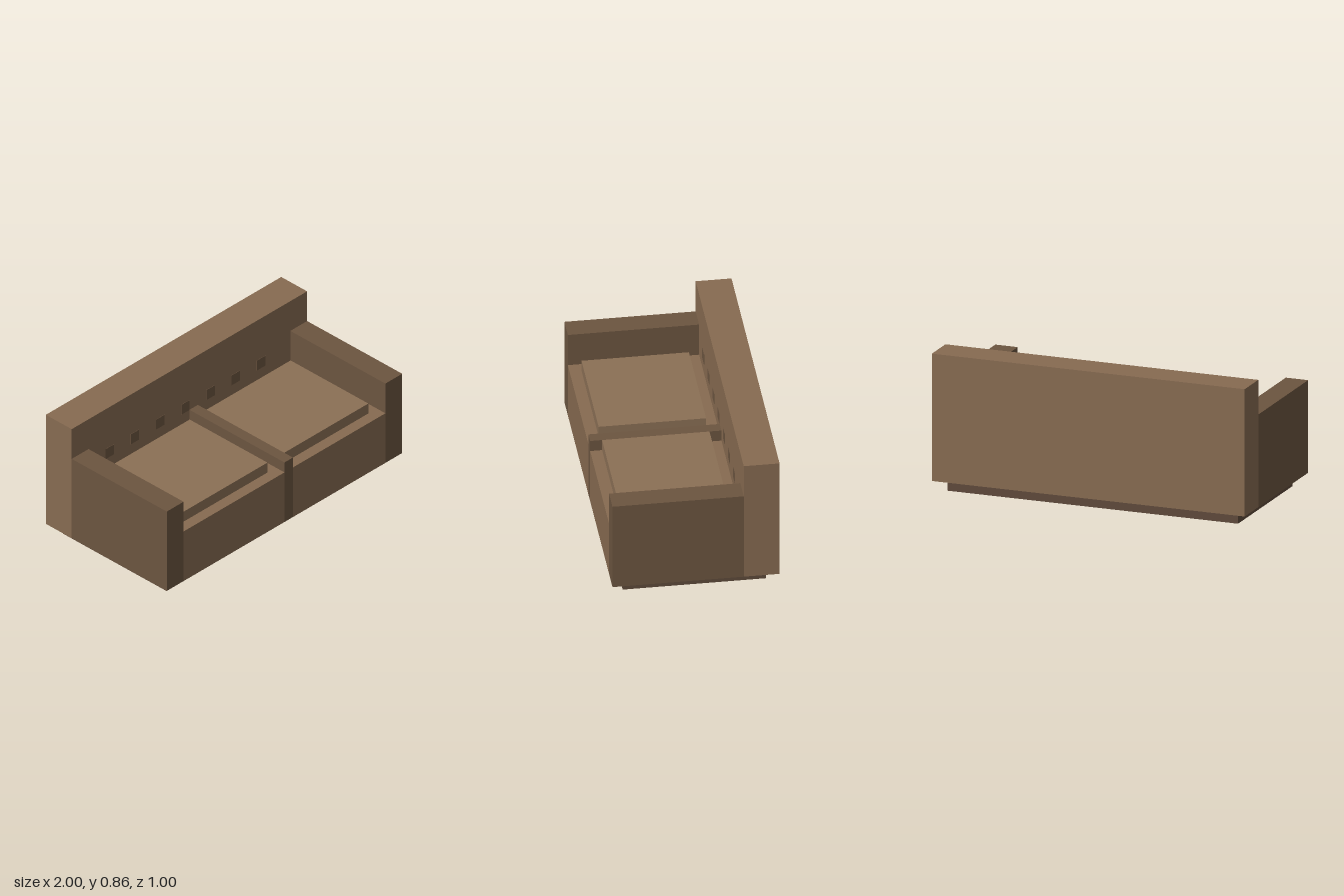
import * as THREE from 'three';

// All dimensions sit on a grid of 1/14 unit.
const U = 1 / 14;

const material = (color) => new THREE.MeshStandardMaterial({ color, flatShading: true });

export function createModel() {
  const model = new THREE.Group();
  const fabric = material(0x876b51);
  const cushionFabric = material(0x8b7055);
  const trim = material(0x6c5540);
  const plinthWood = material(0x5f4a3b);

  // Box spanning [min, max] on each axis, in grid units
  function block(name, mat, [x0, x1], [y0, y1], [z0, z1]) {
    const geometry = new THREE.BoxGeometry((x1 - x0) * U, (y1 - y0) * U, (z1 - z0) * U);
    const mesh = new THREE.Mesh(geometry, mat);
    mesh.name = name;
    mesh.position.set((x0 + x1) / 2 * U, (y0 + y1) / 2 * U, (z0 + z1) / 2 * U);
    model.add(mesh);
  }

  // Recessed base and tall backrest
  block('plinth', plinthWood, [-13, 13], [0, 1], [-6, 6]);
  block('backrest', fabric, [-14, 14], [1, 12], [-7, -4]);

  // Seat body on both sides of the raised divider
  block('rightSeat', fabric, [-12, 0], [1, 6], [-4, 7]);
  block('leftSeat', fabric, [1, 12], [1, 6], [-4, 7]);
  block('seatDivider', trim, [0, 1], [1, 7], [-4, 7]);

  // Armrests
  block('rightArmrest', trim, [-14, -12], [1, 9], [-4, 7]);
  block('leftArmrest', trim, [12, 14], [1, 9], [-4, 7]);

  // Seat cushions
  block('rightCushion', cushionFabric, [-11, -1], [6, 7], [-3, 6]);
  block('leftCushion', cushionFabric, [1, 11], [6, 7], [-3, 6]);

  // Row of square buttons, almost flush with the backrest
  for (let i = 0; i < 7; i++) {
    const x = -10 + i * 3;
    block(`backButton${i + 1}`, trim, [x, x + 1], [7, 8], [-4.1, -3.97]);
  }

  return model;
}
